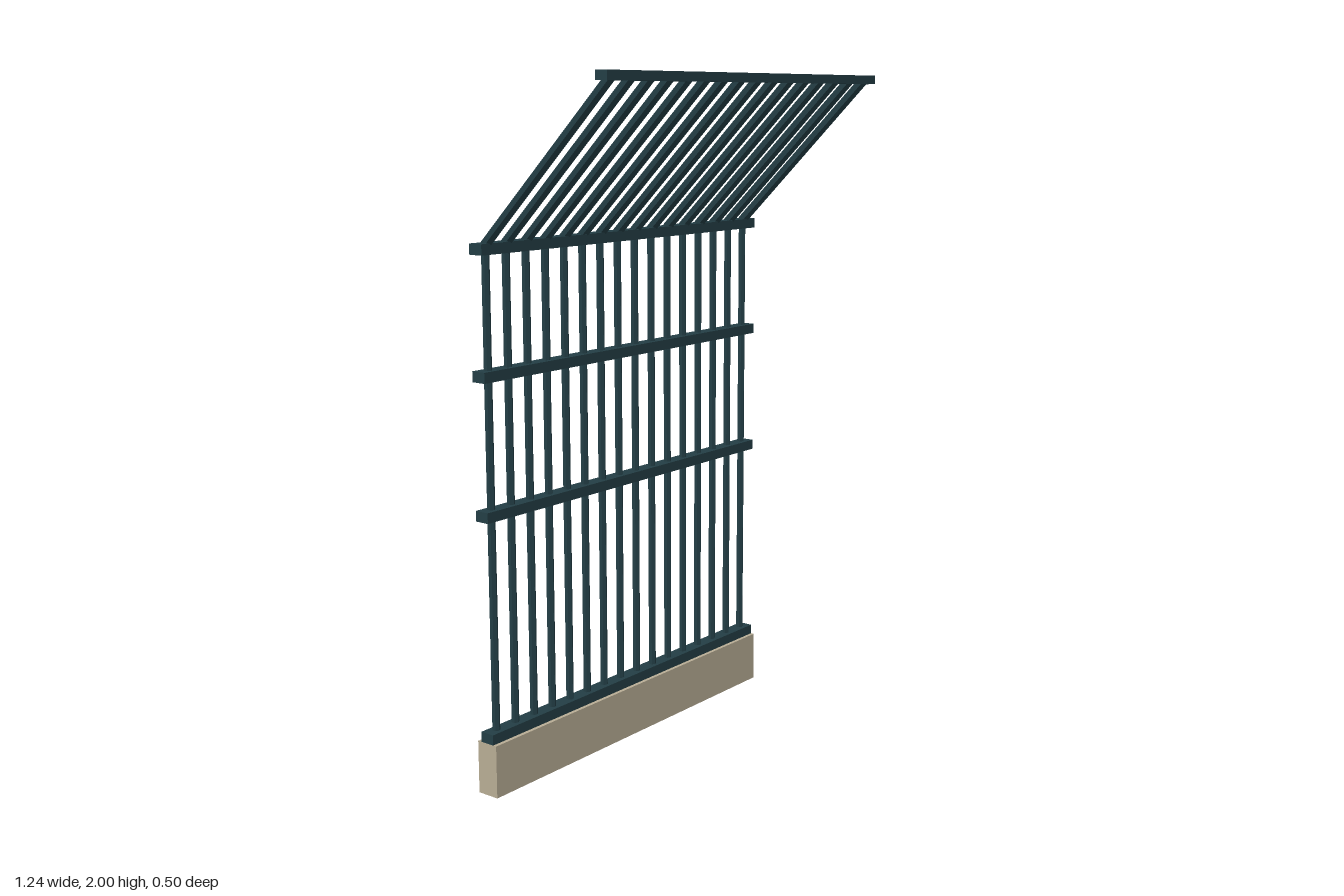
import * as THREE from 'three';

export function createModel() {
  const model = new THREE.Group();
  model.name = 'barredFence';

  const iron = new THREE.MeshStandardMaterial({ color: 0x233e45, flatShading: true });
  iron.name = 'dark teal iron';
  const stone = new THREE.MeshStandardMaterial({ color: 0xb8ad95, flatShading: true });
  stone.name = 'beige stone';

  const WIDTH = 1.244;
  const WALL_Z = -0.213;

  function box(name, material, height, depth, y, z) {
    const mesh = new THREE.Mesh(new THREE.BoxGeometry(WIDTH, height, depth), material);
    mesh.name = name;
    mesh.position.set(0, y, z);
    model.add(mesh);
  }

  // Six-sided rod between two points
  function rod(name, radius, from, to) {
    const dir = to.clone().sub(from);
    const mesh = new THREE.Mesh(new THREE.CylinderGeometry(radius, radius, dir.length(), 6), iron);
    mesh.name = name;
    mesh.position.copy(from).add(to).multiplyScalar(0.5);
    mesh.quaternion.setFromUnitVectors(new THREE.Vector3(0, 1, 0), dir.normalize());
    model.add(mesh);
  }

  // Stone plinth
  box('plinth', stone, 0.155, 0.07, 0.0775, -0.214);

  // Horizontal rails on the wall, and the forward top rail
  box('bottomRail', iron, 0.03, 0.045, 0.17, WALL_Z);
  box('lowerRail', iron, 0.03, 0.045, 0.81, WALL_Z);
  box('upperRail', iron, 0.03, 0.045, 1.197, WALL_Z);
  box('bendRail', iron, 0.03, 0.045, 1.54, WALL_Z);
  box('topRail', iron, 0.025, 0.038, 1.9875, 0.23);

  // Upright bars, each continued by a bar leaning forward
  const COUNT = 16;
  for (let i = 0; i < COUNT; i++) {
    const x = (i / (COUNT - 1) - 0.5) * 1.17;
    rod('uprightBar', 0.0115, new THREE.Vector3(x, 0.16, WALL_Z), new THREE.Vector3(x, 1.545, WALL_Z));
    rod('leaningBar', 0.0155, new THREE.Vector3(x, 1.55, WALL_Z), new THREE.Vector3(x, 1.985, 0.23));
  }
  return model;
}
